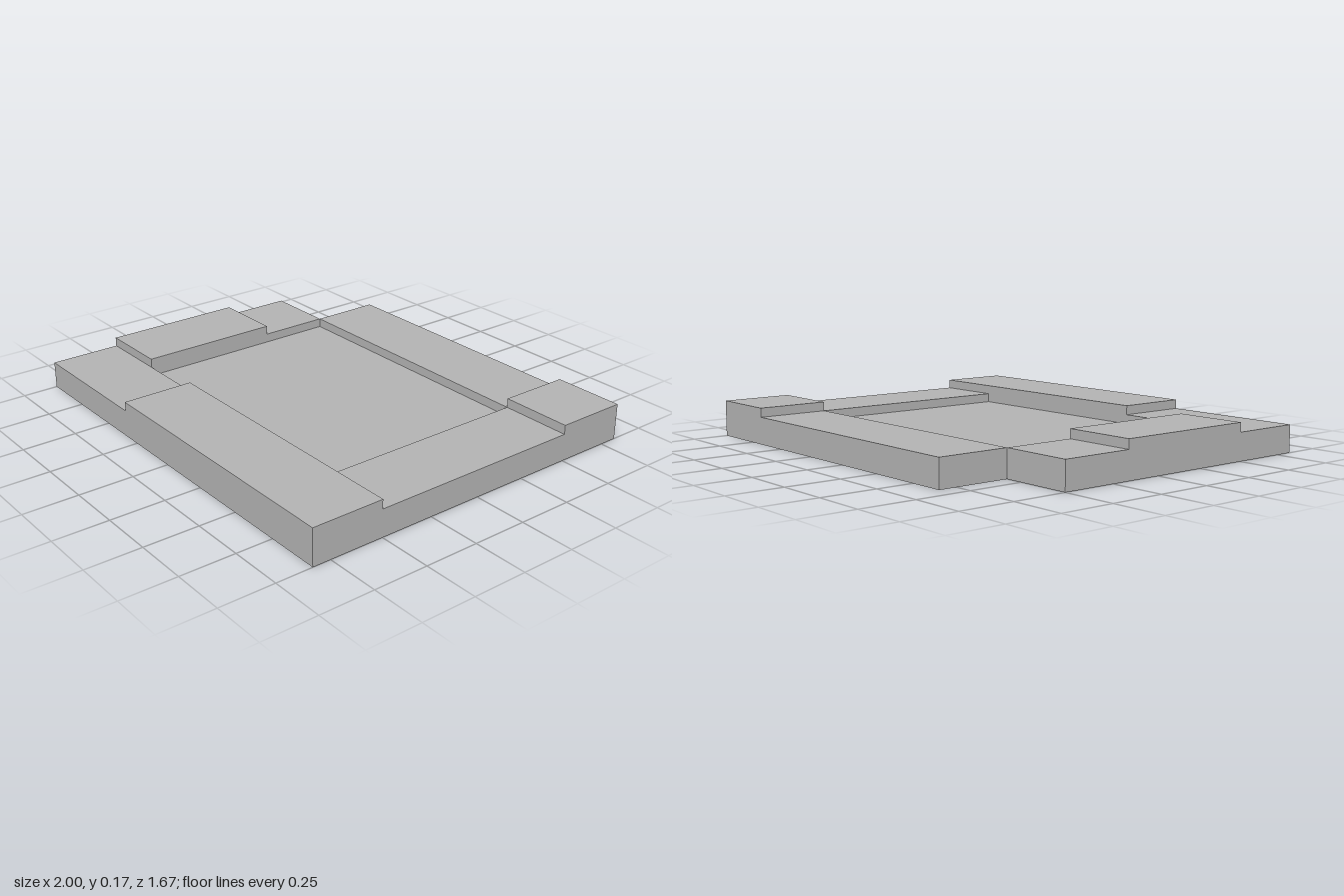
import * as THREE from 'three';

// Hollow tiled floor tray: square cells with thin tops and walls, open underneath.
const CELL = 1 / 3;
const COLS = 6, ROWS = 5;
const LEVEL = { ' ': 0, f: 0.083, l: 0.125, h: 0.167 }; // empty, floor, low rim, high rim

// Back row first, x rising along each string
const PLAN = [
  ' llllh',
  'lffffl',
  'hffffl',
  'hffffl',
  'llhhhh',
];

const heightAt = (c, r) => LEVEL[PLAN[r]?.[c] ?? ' '];

export function createModel() {
  const model = new THREE.Group();
  model.name = 'floorTray';
  const grey = new THREE.MeshStandardMaterial({ color: 0xb2b2b2, side: THREE.DoubleSide });
  grey.name = 'grey';

  const parts = {};
  for (const name of ['tops', 'wallsAcross', 'wallsAlong']) {
    parts[name] = new THREE.Group();
    parts[name].name = name;
    model.add(parts[name]);
  }

  function addPanel(group, name, w, h, position, rotation) {
    const panel = new THREE.Mesh(new THREE.PlaneGeometry(w, h), grey);
    panel.name = name;
    panel.position.set(...position);
    panel.rotation.set(...rotation);
    parts[group].add(panel);
  }

  for (let r = 0; r <= ROWS; r++) {
    for (let c = 0; c <= COLS; c++) {
      const x = (c - COLS / 2) * CELL, z = (r - ROWS / 2) * CELL;
      const here = heightAt(c, r);
      const behind = heightAt(c, r - 1), beside = heightAt(c - 1, r);

      // Cell top
      if (here) addPanel('tops', 'cellTop', CELL, CELL, [x + CELL / 2, here, z + CELL / 2], [-Math.PI / 2, 0, 0]);

      // Wall on the back edge of the cell, as tall as the higher neighbour
      const back = Math.max(here, behind);
      if (back) {
        addPanel('wallsAcross', 'crossWall', CELL, back, [x + CELL / 2, back / 2, z],
          [0, here > behind ? Math.PI : 0, 0]);
      }

      // Wall on the low-x edge of the cell
      const side = Math.max(here, beside);
      if (side) {
        addPanel('wallsAlong', 'sideWall', CELL, side, [x, side / 2, z + CELL / 2],
          [0, here > beside ? -Math.PI / 2 : Math.PI / 2, 0]);
      }
    }
  }
  return model;
}
